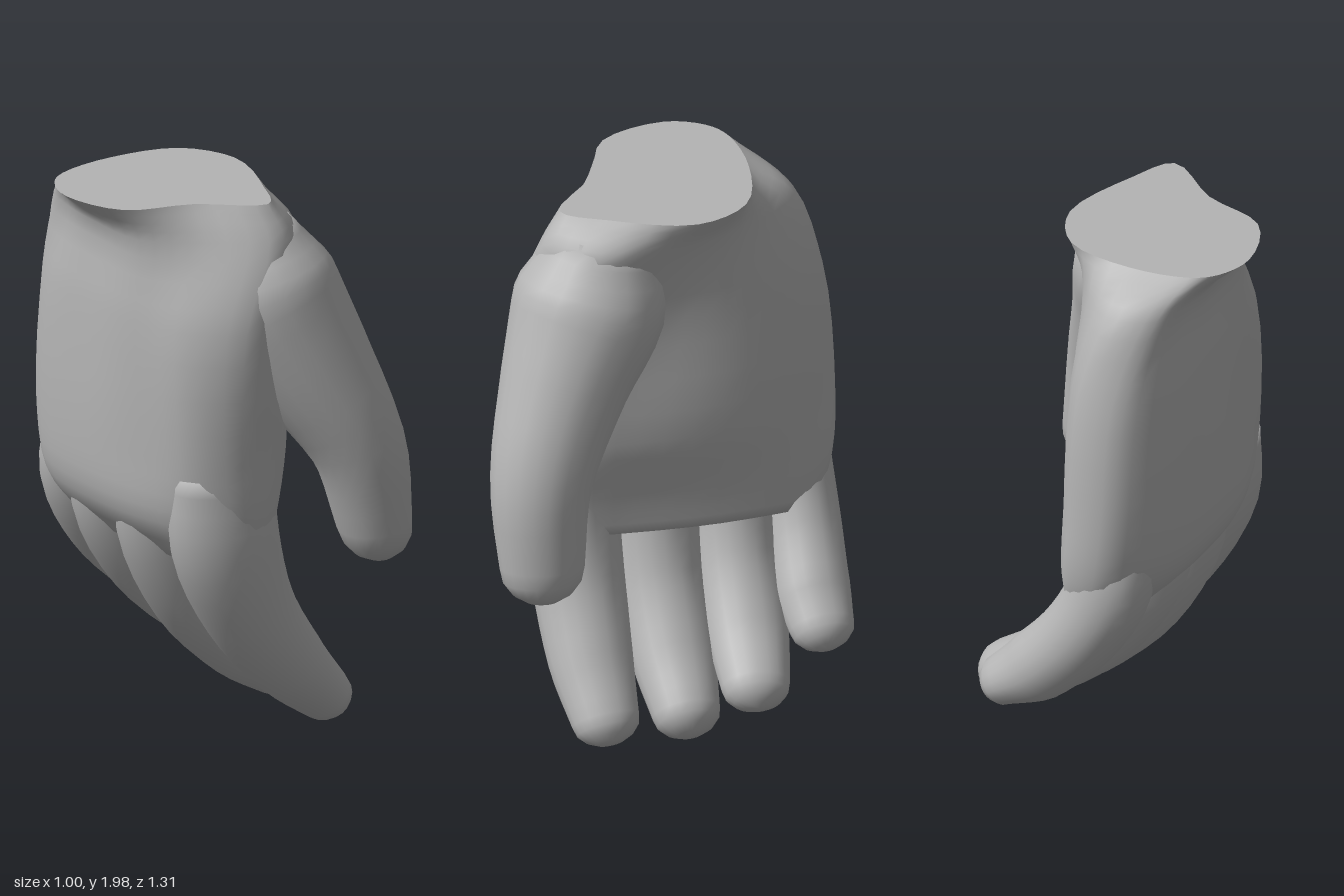
import * as THREE from 'three';

const V = (x, y, z) => new THREE.Vector3(x, y, z);

// Skin a list of equal-sized rings; the far end closes on a pole
function skin(rings, startPole, endPole) {
  const n = rings[0].length, pos = [], idx = [];
  rings.forEach(r => r.forEach(p => pos.push(p.x, p.y, p.z)));
  for (let i = 0; i < rings.length - 1; i++) {
    for (let j = 0; j < n; j++) {
      const k = (j + 1) % n;
      const a = i * n + j, b = i * n + k, c = a + n, d = b + n;
      idx.push(a, c, b, b, c, d);
    }
  }
  const pole = (p, base, flip) => {
    const id = pos.length / 3;
    pos.push(p.x, p.y, p.z);
    for (let j = 0; j < n; j++) {
      const a = base + j, b = base + (j + 1) % n;
      if (flip) idx.push(id, a, b); else idx.push(id, b, a);
    }
  };
  if (startPole) pole(startPole, 0, true);
  if (endPole) pole(endPole, (rings.length - 1) * n, false);
  const g = new THREE.BufferGeometry();
  g.setAttribute('position', new THREE.Float32BufferAttribute(pos, 3));
  g.setIndex(idx);
  g.computeVertexNormals();
  return g;
}

// Rounded digit: each section is [x, y, z, half width along side, half thickness]
function digit(sections, side, tip) {
  const path = new THREE.CatmullRomCurve3(sections.map(s => V(s[0], s[1], s[2])));
  const size = new THREE.CatmullRomCurve3(sections.map(s => V(s[3], s[4], 0)));
  const rings = [], n = 20, steps = 16;
  const ring = (c, t, w, h) => {
    const e1 = side.clone().addScaledVector(t, -side.dot(t)).normalize();
    const e2 = e1.clone().cross(t);
    return Array.from({ length: n }, (_, j) => {
      const a = j / n * Math.PI * 2;
      return c.clone().addScaledVector(e1, w * Math.cos(a)).addScaledVector(e2, h * Math.sin(a));
    });
  };
  for (let i = 0; i <= steps; i++) {
    const u = i / steps, s = size.getPoint(u);
    rings.push(ring(path.getPoint(u), path.getTangent(u), s.x, s.y));
  }
  // domed tip
  const end = path.getPoint(1), t = path.getTangent(1), s = size.getPoint(1);
  for (const a of [0.4, 0.8, 1.2]) {
    rings.push(ring(end.clone().addScaledVector(t, tip * Math.sin(a)), t, s.x * Math.cos(a), s.y * Math.cos(a)));
  }
  return skin(rings, path.getPoint(0), end.clone().addScaledVector(t, tip));
}

// Horizontal palm outlines (x, z), from the back of the hand round by the thumb side
const palmLevels = [
  [2.00, [-.51, -.12], [-.43, .11], [-.2, .2], [.01, .35], [.1, .2], [.19, -.1], [.09, -.29], [-.16, -.35], [-.38, -.32], [-.46, -.26]],
  [1.88, [-.385, -.12], [-.37, .12], [-.2, .28], [.03, .42], [.19, .25], [.14, -.05], [.06, -.27], [-.15, -.51], [-.32, -.46], [-.37, -.3]],
  [1.58, [-.4, -.12], [-.39, .12], [-.31, .33], [-.1, .47], [.1, .35], [.1, 0], [.06, -.3], [-.08, -.59], [-.26, -.59], [-.38, -.4]],
  [1.10, [-.415, -.12], [-.38, .15], [-.31, .36], [-.12, .46], [.08, .36], [.12, .1], [.08, -.3], [-.06, -.62], [-.24, -.64], [-.38, -.45]],
  [0.86, [-.39, -.12], [-.36, .15], [-.27, .36], [-.11, .45], [.04, .36], [.07, .1], [.05, -.3], [-.03, -.6], [-.2, -.63], [-.35, -.45]],
  [0.70, [-.27, -.12], [-.25, .15], [-.2, .33], [-.1, .4], [.02, .33], [.05, .1], [.04, -.3], [-.02, -.55], [-.13, -.58], [-.24, -.42]],
];

function palmRings() {
  const columns = Array.from({ length: 10 }, (_, j) =>
    new THREE.CatmullRomCurve3(palmLevels.map(l => V(l[j + 1][0], l[0], l[j + 1][1]))));
  const rings = [];
  for (let i = 0; i <= 20; i++) {
    const loop = new THREE.CatmullRomCurve3(columns.map(c => c.getPoint(i / 20)), true);
    rings.push(Array.from({ length: 40 }, (_, k) => loop.getPoint(k / 40)));
  }
  return rings;
}

export function createModel() {
  const hand = new THREE.Group();
  hand.name = 'hand';
  const grey = new THREE.MeshStandardMaterial({ color: 0xb4b4b4 });
  grey.name = 'plain grey';
  const add = (name, geometry) => {
    const mesh = new THREE.Mesh(geometry, grey);
    mesh.name = name;
    hand.add(mesh);
  };

  // palm and flat wrist cut
  const rings = palmRings();
  add('palm', skin(rings, null, V(-0.1, 0.62, -0.1)));
  const cut = new THREE.ShapeGeometry(new THREE.Shape(rings[0].map(p => new THREE.Vector2(p.x, -p.z))));
  cut.rotateX(-Math.PI / 2).translate(0, 2, 0);
  add('wristCut', cut);

  // fingers, curling towards the palm side
  const across = V(0, 0, 1);
  const fingers = {
    indexFinger: [[-.14, 1.05, .29, .13, .2], [-.13, .78, .29, .17, .2], [-.02, .5, .28, .165, .165], [.15, .27, .27, .15, .135], [.31, .115, .25, .12, .1]],
    middleFinger: [[-.16, 1.05, -.01, .12, .19], [-.16, .78, -.01, .16, .19], [-.04, .48, -.01, .16, .16], [.15, .26, -.02, .15, .135], [.33, .125, -.03, .12, .11]],
    ringFinger: [[-.16, 1.05, -.28, .12, .18], [-.17, .8, -.28, .15, .18], [-.04, .52, -.28, .15, .15], [.16, .32, -.28, .145, .125], [.35, .215, -.27, .12, .1]],
    littleFinger: [[-.16, 1.05, -.5, .1, .14], [-.17, .82, -.51, .13, .15], [-.06, .6, -.52, .135, .14], [.1, .43, -.52, .135, .13], [.22, .35, -.53, .115, .095]],
  };
  for (const [name, sections] of Object.entries(fingers)) add(name, digit(sections, across, 0.09));

  // thumb with its broad root
  add('thumb', digit([
    [.02, 1.88, .2, .17, .15], [.07, 1.65, .26, .27, .25], [.17, 1.4, .37, .225, .22],
    [.3, 1.1, .475, .18, .165], [.365, .8, .485, .15, .125],
  ], V(0, 0, 1), 0.14));
  return hand;
}
